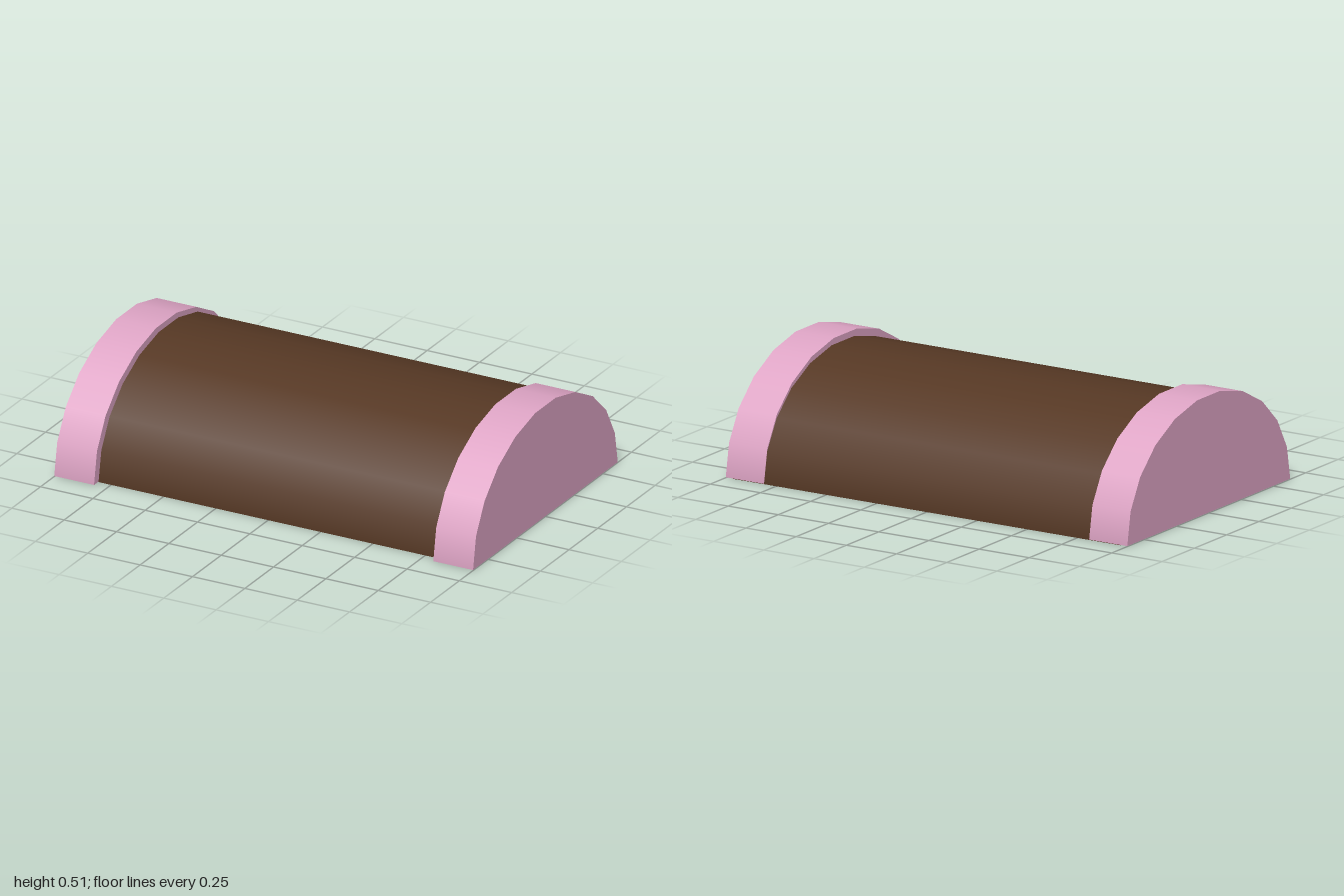
import * as THREE from 'three';
import { mergeGeometries } from 'three/addons/utils/BufferGeometryUtils.js';

// Closed half cylinder lying along x, flat side down at y = 0
function halfDrum(length, height, depth) {
  const arch = new THREE.CylinderGeometry(1, 1, length, 11, 1, false, 0, Math.PI);
  arch.rotateZ(Math.PI / 2);
  arch.scale(1, height, depth);
  const base = new THREE.PlaneGeometry(length, depth * 2);
  base.rotateX(Math.PI / 2);
  return mergeGeometries([arch, base]);
}

export function createModel() {
  const model = new THREE.Group();
  model.name = 'halfLog';
  const pink = new THREE.MeshStandardMaterial({ color: 0xdfa5c6 });
  pink.name = 'pink';
  const brown = new THREE.MeshStandardMaterial({ color: 0x563824 });
  brown.name = 'brown';

  // Core, flush with the end bands at the back
  const core = new THREE.Mesh(halfDrum(1.93, 0.487, 0.61), brown);
  core.name = 'core';
  core.position.z = -0.019;
  model.add(core);

  // End bands, a hair above the core's underside
  for (const side of [-1, 1]) {
    const band = new THREE.Mesh(halfDrum(0.19, 0.513, 0.63), pink);
    band.name = side > 0 ? 'leftEndBand' : 'rightEndBand';
    band.position.set(side * 0.905, 0.002, 0);
    model.add(band);
  }
  return model;
}
